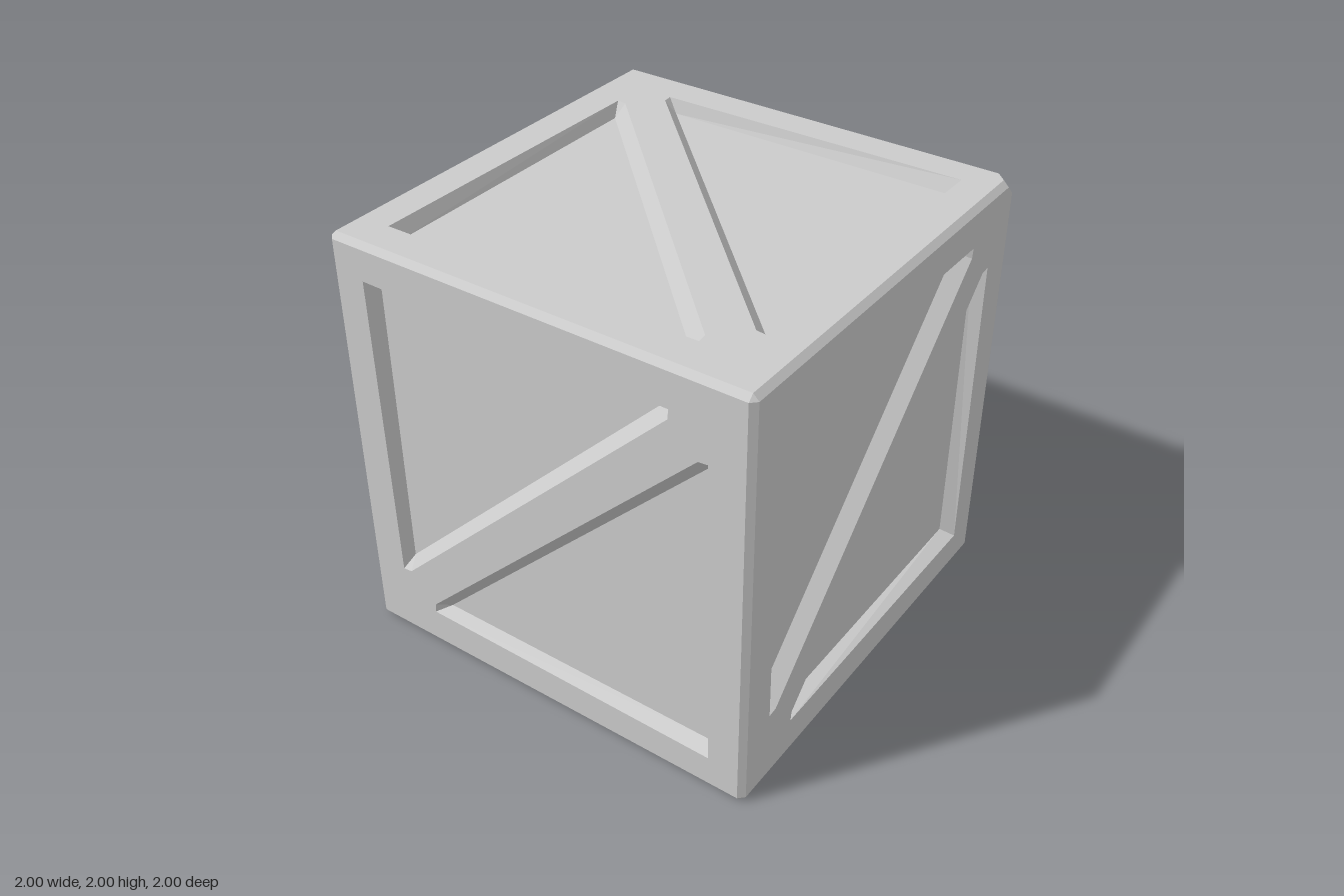
import * as THREE from 'three';
import { ConvexGeometry } from 'three/addons/geometries/ConvexGeometry.js';

const B = 0.974;     // where the flat face ends and the edge bevel begins
const CHIP = 0.93;   // reach of the chipped corner
const DEPTH = 0.065; // recess depth

// One triangular recess: rim on the face, floor below it (counter-clockwise)
const RIM = [[-0.83, 0.83], [-0.815, -0.645], [-0.77, -0.64], [0.64, 0.77], [0.645, 0.815]];
const FLOOR = [[-0.8, 0.8], [-0.8, -0.6], [-0.8, -0.6], [0.6, 0.8], [0.6, 0.8]];

const material = new THREE.MeshStandardMaterial({ color: 0xcccccc, flatShading: true });

function mesh(name, geometry) {
  const m = new THREE.Mesh(geometry, material);
  m.name = name;
  return m;
}

function turned(points, angle) {
  return points.map(([x, y]) => new THREE.Vector2(x, y).rotateAround(new THREE.Vector2(), angle));
}

// Sloping sides between rim and floor
function recessWalls(rim, floor) {
  const pos = [];
  const top = (i) => [rim[i].x, rim[i].y, 1];
  const low = (i) => [floor[i].x, floor[i].y, 1 - DEPTH];
  rim.forEach((p, i) => {
    const j = (i + 1) % rim.length;
    pos.push(...top(i), ...top(j), ...low(j));
    if (!floor[i].equals(floor[j])) pos.push(...top(i), ...low(j), ...low(i));
  });
  const g = new THREE.BufferGeometry();
  g.setAttribute('position', new THREE.Float32BufferAttribute(pos, 3));
  g.computeVertexNormals();
  return g;
}

// A face at z = 1 with two recesses; chip = +1/-1 cuts its top right/left corner
function panelFace(name, turn, chip) {
  const face = new THREE.Group();
  face.name = name;
  const outline = [[-B, -B], [B, -B]];
  outline.push(...(chip === 1 ? [[B, CHIP], [CHIP, B]] : [[B, B]]));
  outline.push(...(chip === -1 ? [[-CHIP, B], [-B, CHIP]] : [[-B, B]]));
  const frame = new THREE.Shape(outline.map(([x, y]) => new THREE.Vector2(x, y)));
  for (const angle of [turn, turn + Math.PI]) {
    const rim = turned(RIM, angle), floor = turned(FLOOR, angle);
    frame.holes.push(new THREE.Path(rim));
    const panel = new THREE.Shape([floor[0], floor[1], floor[3]]);
    face.add(mesh('recessPanel', new THREE.ShapeGeometry(panel).translate(0, 0, 1 - DEPTH)));
    face.add(mesh('recessWalls', recessWalls(rim, floor)));
  }
  face.add(mesh('frame', new THREE.ShapeGeometry(frame).translate(0, 0, 1)));
  return face;
}

// Bevelled hull, keeping only the bevels and the plain underside
function bevelShell() {
  const points = [];
  for (const x of [-1, 1]) for (const y of [-1, 1]) for (const z of [-1, 1]) {
    const chipped = x > 0 && y > 0 && z < 0;
    const corner = chipped
      ? [[1, CHIP, B], [1, B, CHIP], [CHIP, 1, B], [B, 1, CHIP], [CHIP, B, 1], [B, CHIP, 1]]
      : [[1, B, B], [B, 1, B], [B, B, 1]];
    for (const c of corner) points.push(new THREE.Vector3(c[0] * x, c[1] * y, c[2] * z));
  }
  const p = new ConvexGeometry(points).getAttribute('position');
  const kept = [];
  const t = new THREE.Triangle(), n = new THREE.Vector3();
  for (let i = 0; i < p.count; i += 3) {
    t.setFromAttributeAndIndices(p, i, i + 1, i + 2).getNormal(n);
    const flat = Math.max(Math.abs(n.x), Math.abs(n.y), Math.abs(n.z)) > 0.999;
    if (!flat || n.y < -0.999) kept.push(...t.a.toArray(), ...t.b.toArray(), ...t.c.toArray());
  }
  const g = new THREE.BufferGeometry();
  g.setAttribute('position', new THREE.Float32BufferAttribute(kept, 3));
  g.computeVertexNormals();
  return g;
}

export function createModel() {
  const crate = new THREE.Group();
  crate.name = 'crate';
  const body = new THREE.Group();
  body.name = 'body';
  body.position.y = 1;
  crate.add(body);
  body.add(mesh('bevelsAndUnderside', bevelShell()));

  // Four sides, then the top with its diagonal running the other way
  ['frontFace', 'leftFace', 'backFace', 'rightFace'].forEach((name, i) => {
    const face = panelFace(name, 0, [0, 1, -1, 0][i]);
    face.rotation.y = i * Math.PI / 2;
    body.add(face);
  });
  const top = panelFace('topFace', -Math.PI / 2, 1);
  top.rotation.x = -Math.PI / 2;
  body.add(top);
  return crate;
}
